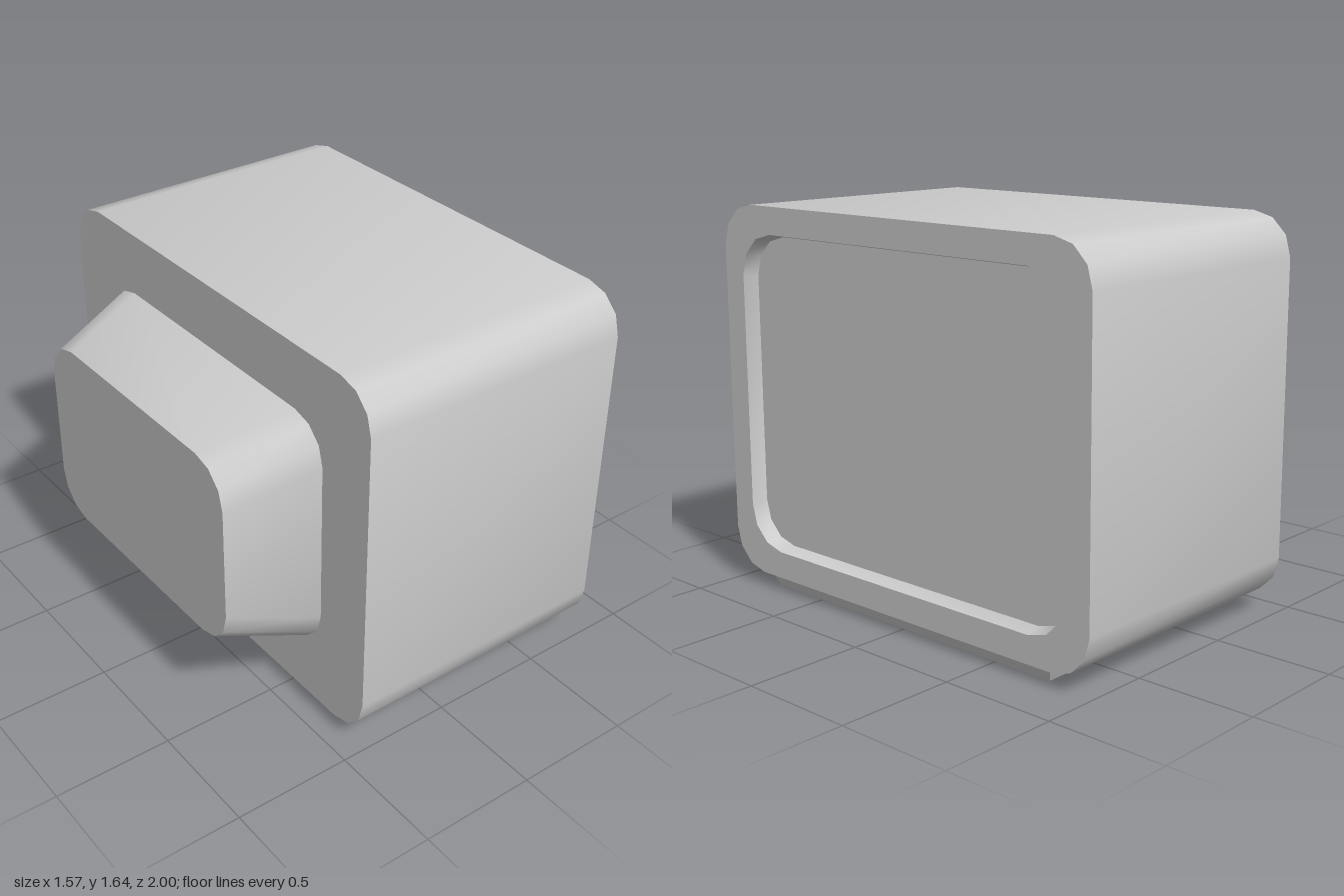
import * as THREE from 'three';
import { toCreasedNormals } from 'three/addons/utils/BufferGeometryUtils.js';

const material = new THREE.MeshStandardMaterial({ color: 0xcccccc });
const CENTER_Y = 0.85;

// Rounded rectangle in the plane at x, counter-clockwise seen from +x
function ring(x, halfZ, halfY, r, steps = 3) {
  const points = [];
  for (let corner = 0; corner < 4; corner++) {
    const u = corner === 0 || corner === 3 ? 1 : -1;
    const v = corner < 2 ? 1 : -1;
    for (let i = 0; i <= steps; i++) {
      const a = (corner + i / steps) * Math.PI / 2;
      points.push(new THREE.Vector3(
        x,
        CENTER_Y + v * (halfY - r) + r * Math.sin(a),
        -(u * (halfZ - r) + r * Math.cos(a))
      ));
    }
  }
  return points;
}

// Skin a list of rings and cap both ends
function loft(name, sections) {
  const rings = sections.map((s) => ring(...s));
  const n = rings[0].length;
  const tris = [];
  const capCenter = (k) => new THREE.Vector3(sections[k][0], CENTER_Y, 0);
  const last = rings.length - 1;
  for (let j = 0; j < n; j++) {
    const k = (j + 1) % n;
    tris.push(capCenter(0), rings[0][k], rings[0][j]);
    for (let i = 0; i < last; i++) {
      const a = rings[i][j], b = rings[i][k], c = rings[i + 1][j], d = rings[i + 1][k];
      tris.push(a, b, c, b, d, c);
    }
    tris.push(capCenter(last), rings[last][j], rings[last][k]);
  }
  const geometry = toCreasedNormals(new THREE.BufferGeometry().setFromPoints(tris), 0.62);
  const mesh = new THREE.Mesh(geometry, material);
  mesh.name = name;
  return mesh;
}

// Shallow plinth that narrows towards the ground
function makeBase() {
  const geometry = new THREE.BoxGeometry(1.165, 0.06, 1.6).toNonIndexed();
  const p = geometry.attributes.position;
  for (let i = 0; i < p.count; i++) {
    if (p.getY(i) < 0) {
      p.setX(i, p.getX(i) - Math.sign(p.getX(i)) * 0.027);
      p.setZ(i, p.getZ(i) - Math.sign(p.getZ(i)) * 0.027);
    }
  }
  geometry.computeVertexNormals();
  const mesh = new THREE.Mesh(geometry, material);
  mesh.name = 'base';
  mesh.position.set(0.183, 0.03, 0);
  return mesh;
}

export function createModel() {
  const group = new THREE.Group();
  group.name = 'monitor';

  // Casing with a front rim and sunken screen: x, halfZ, halfY, corner radius
  group.add(loft('casing', [
    [-0.418, 1, 0.79, 0.175],
    [0.787, 1, 0.79, 0.175],
    [0.787, 0.888, 0.675, 0.18],
    [0.72, 0.875, 0.661, 0.175],
  ]));

  // Tapered housing at the back
  group.add(loft('rearHousing', [
    [-0.787, 0.624, 0.413, 0.17],
    [-0.418, 0.73, 0.52, 0.17],
  ]));

  group.add(makeBase());
  return group;
}
